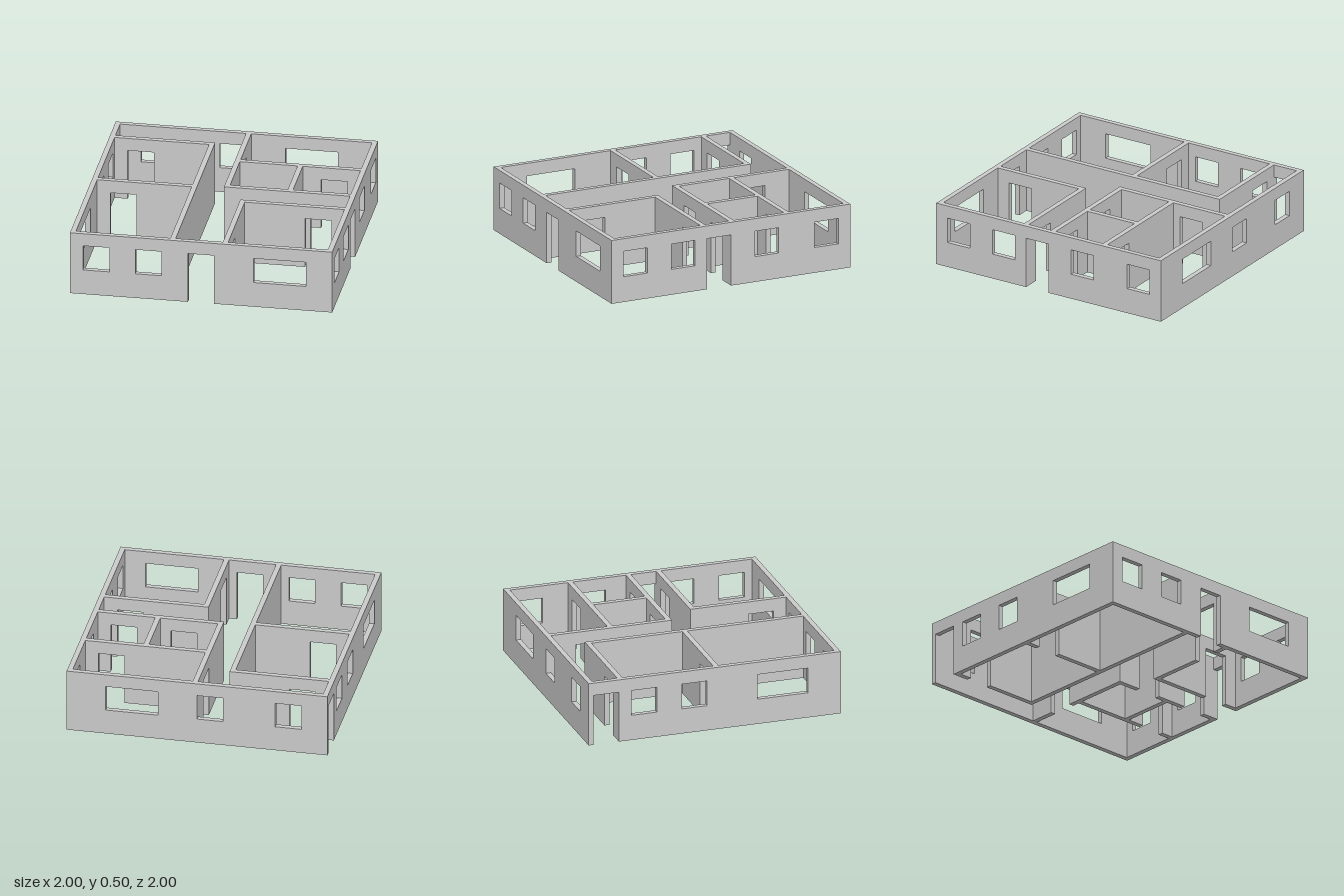
import * as THREE from 'three';

const HEIGHT = 0.5, THICK = 0.04, SILL = 0.2, LINTEL = 0.4;
const material = new THREE.MeshStandardMaterial({ color: 0xcccccc, flatShading: true });

// Upright wall panel from a to b: doors notch the bottom edge, windows are holes.
function wallGeometry(a, b, doors, windows) {
  const shape = new THREE.Shape();
  shape.moveTo(a, 0);
  for (const [d0, d1] of doors) {
    shape.lineTo(d0, 0);
    shape.lineTo(d0, LINTEL);
    shape.lineTo(d1, LINTEL);
    shape.lineTo(d1, 0);
  }
  shape.lineTo(b, 0);
  shape.lineTo(b, HEIGHT);
  shape.lineTo(a, HEIGHT);
  shape.closePath();
  for (const [w0, w1] of windows) {
    const hole = new THREE.Path();
    hole.moveTo(w0, SILL);
    hole.lineTo(w0, LINTEL);
    hole.lineTo(w1, LINTEL);
    hole.lineTo(w1, SILL);
    hole.closePath();
    shape.holes.push(hole);
  }
  return new THREE.ExtrudeGeometry(shape, { depth: THICK, bevelEnabled: false });
}

// axis: direction the wall runs; at: its lower coordinate on the other axis.
const walls = [
  // outer walls
  { name: 'frontWall', axis: 'x', at: 0.96, from: -0.96, to: 0.96,
    doors: [[-0.1, 0.1]], windows: [[-0.9, -0.7], [-0.5, -0.3], [0.4, 0.8]] },
  { name: 'backWall', axis: 'x', at: -1, from: -0.96, to: 0.96,
    windows: [[-0.8, -0.6], [-0.2, 0], [0.3, 0.7]] },
  { name: 'leftWall', axis: 'z', at: 0.96, from: -1, to: 1,
    doors: [[0, 0.2]], windows: [[-0.9, -0.7], [-0.4, -0.2], [0.3, 0.5], [0.7, 0.9]] },
  { name: 'rightWall', axis: 'z', at: -1, from: -1, to: 1,
    doors: [[-0.96, -0.76]], windows: [[-0.66, -0.46], [-0.26, -0.06], [0.34, 0.74]] },
  // rooms on the -x side
  { name: 'hallWall', axis: 'z', at: -0.24, from: -0.76, to: 0.96 },
  { name: 'passageWall', axis: 'x', at: -0.76, from: -0.96, to: -0.24, doors: [[-0.86, -0.66]] },
  { name: 'bedroomDivider', axis: 'x', at: 0, from: -0.96, to: -0.24, doors: [[-0.86, -0.66]] },
  // back rooms on the +x side
  { name: 'backHallWall', axis: 'z', at: 0, from: -0.96, to: 0, doors: [[-0.76, -0.56]] },
  { name: 'smallRoomsFrontWall', axis: 'x', at: -0.04, from: 0.04, to: 0.96,
    doors: [[0.2, 0.4], [0.66, 0.86]] },
  { name: 'smallRoomsBackWall', axis: 'x', at: -0.5, from: 0.04, to: 0.96, doors: [[0.66, 0.86]] },
  { name: 'smallRoomsDivider', axis: 'z', at: 0.48, from: -0.46, to: -0.04 },
  // front room on the +x side
  { name: 'frontRoomBackWall', axis: 'x', at: 0.2, from: 0.16, to: 0.96, doors: [[0.66, 0.86]] },
  { name: 'frontRoomSideWall', axis: 'z', at: 0.16, from: 0.24, to: 0.96, doors: [[0.66, 0.86]] },
];

export function createModel() {
  const house = new THREE.Group();
  house.name = 'housePlan';
  for (const { name, axis, at, from, to, doors = [], windows = [] } of walls) {
    const mesh = new THREE.Mesh(wallGeometry(from, to, doors, windows), material);
    mesh.name = name;
    if (axis === 'x') {
      mesh.position.z = at;
    } else {
      mesh.rotation.y = -Math.PI / 2;
      mesh.position.x = at + THICK;
    }
    house.add(mesh);
  }
  return house;
}
